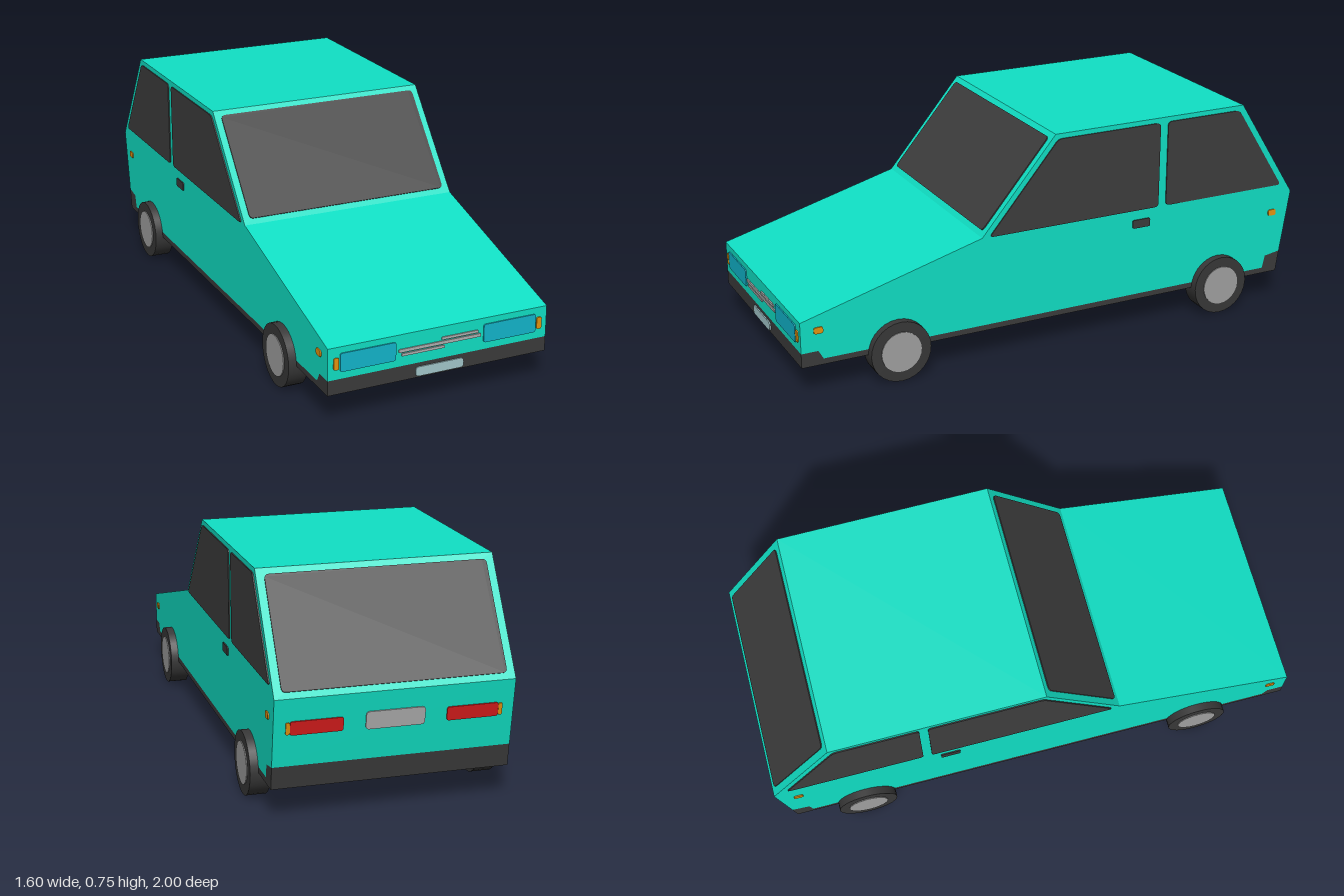
import * as THREE from 'three';

const mat = (name, color) => Object.assign(new THREE.MeshStandardMaterial({ color }), { name });

const HALF = 0.386;   // half width of the car
const END = 0.93;     // half length of the car
const THIN = 0.004;   // thickness of painted plates

// Polygon with slightly rounded corners
function roundedShape(points, r) {
  const v = points.map(p => new THREE.Vector2(...p));
  const shape = new THREE.Shape();
  v.forEach((p, i) => {
    const prev = v[(i + v.length - 1) % v.length], next = v[(i + 1) % v.length];
    const a = p.clone().add(prev.clone().sub(p).setLength(r));
    const b = p.clone().add(next.clone().sub(p).setLength(r));
    if (i === 0) shape.moveTo(a.x, a.y); else shape.lineTo(a.x, a.y);
    shape.quadraticCurveTo(p.x, p.y, b.x, b.y);
  });
  shape.closePath();
  return shape;
}

const rect = (x, y, w, h) => [
  [x - w / 2, y - h / 2], [x + w / 2, y - h / 2], [x + w / 2, y + h / 2], [x - w / 2, y + h / 2],
];

const extrude = (shape, depth) =>
  new THREE.ExtrudeGeometry(shape, { depth, bevelEnabled: false, curveSegments: 4 });

// Side profile (length, height) swept across the car, centred on x = x0
function sideSweep(name, shape, width, x0, material) {
  const geo = extrude(shape, width);
  geo.translate(0, 0, -width / 2);
  geo.rotateY(-Math.PI / 2);
  geo.translate(x0, 0, 0);
  const mesh = new THREE.Mesh(geo, material);
  mesh.name = name;
  return mesh;
}

// Group whose xy plane lies on the face rising from bottom to top (length, height)
function facePlane(name, bottom, top, sign) {
  const x = new THREE.Vector3(sign, 0, 0);
  const y = new THREE.Vector3(0, top[1] - bottom[1], top[0] - bottom[0]).normalize();
  const z = x.clone().cross(y);
  const group = new THREE.Group();
  group.name = name;
  group.quaternion.setFromRotationMatrix(new THREE.Matrix4().makeBasis(x, y, z));
  group.position.set(0, bottom[1], bottom[0]);
  return group;
}

export function createModel() {
  const paint = mat('teal paint', 0x10e0c5);
  const glass = mat('dark glass', 0x3e3e3e);
  const trim = mat('dark trim', 0x3b3b3b);
  const rubber = mat('tyre rubber', 0x383838);
  const metal = mat('hub grey', 0xa0a0a0);
  const lamp = mat('headlight blue', 0x12b6cc);
  const amber = mat('amber', 0xe8960f);
  const red = mat('tail light red', 0xd81c1c);
  const silver = mat('grille silver', 0xb0b0b0);
  const pale = mat('number plate pale', 0xa4c8cc);

  const car = new THREE.Group();
  car.name = 'car';

  // Body: painted upper part and dark lower part meet on one stepped line
  const seam = [[END, 0.155], [0.872, 0.155], [0.855, 0.125], [-0.825, 0.125], [-0.835, 0.17], [-0.895, 0.18]];
  const rearLow = [-0.884, 0.105], rearMid = [-END, 0.405];
  const roofRear = [-0.708, 0.755], roofFront = [0.025, 0.755];
  const cowl = [0.293, 0.437], nose = [END, 0.262];
  const toShape = pts => new THREE.Shape(pts.map(p => new THREE.Vector2(...p)));
  car.add(sideSweep('body', toShape([...seam, rearMid, roofRear, roofFront, cowl, nose]), HALF * 2, 0, paint));
  car.add(sideSweep('bumpersAndFloor', toShape([rearLow, [END, 0.105], ...seam]), HALF * 2, 0, trim));

  // Side windows, door handles and marker lamps
  const sideParts = [
    ['frontSideWindow', [[-0.375, 0.437], [0.268, 0.437], [0.015, 0.738], [-0.375, 0.738]], 0.015, glass],
    ['rearSideWindow', [[-0.882, 0.437], [-0.405, 0.437], [-0.405, 0.738], [-0.692, 0.738]], 0.015, glass],
    ['doorHandle', rect(-0.31, 0.387, 0.068, 0.03), 0.006, trim],
    ['frontMarker', rect(0.87, 0.227, 0.032, 0.022), 0.008, amber],
    ['rearMarker', rect(-0.853, 0.335, 0.032, 0.022), 0.008, amber],
  ];
  for (const side of [-1, 1]) {
    for (const [name, pts, r, material] of sideParts) {
      car.add(sideSweep(name, roundedShape(pts, r), THIN, side * (HALF + THIN / 2), material));
    }
  }

  const plate = (group, name, x, y, w, h, r, material) => {
    const mesh = new THREE.Mesh(extrude(roundedShape(rect(x, y, w, h), r), THIN), material);
    mesh.name = name;
    group.add(mesh);
  };

  // Windscreen and rear window
  const screen = facePlane('windscreenFace', cowl, roofFront, 1);
  plate(screen, 'windscreen', 0, 0.208, 0.725, 0.376, 0.015, glass);
  const hatch = facePlane('rearWindowFace', rearMid, roofRear, -1);
  plate(hatch, 'rearWindow', 0, 0.207, 0.72, 0.372, 0.015, glass);

  // Nose: headlights, indicators, grille bars and number plate
  const front = facePlane('noseFace', [END, 0], [END, 1], 1);
  for (const s of [-1, 1]) {
    plate(front, 'headlight', s * 0.25, 0.21, 0.19, 0.062, 0.008, lamp);
    plate(front, 'indicator', s * 0.358, 0.208, 0.018, 0.04, 0.006, amber);
  }
  plate(front, 'grilleBar', 0.07, 0.222, 0.13, 0.009, 0.003, silver);
  plate(front, 'grilleBar', 0, 0.208, 0.29, 0.011, 0.003, silver);
  plate(front, 'grilleBar', -0.06, 0.194, 0.15, 0.009, 0.003, silver);
  plate(front, 'frontNumberPlate', 0, 0.126, 0.17, 0.032, 0.012, pale);

  // Tail: lights with amber ends and number plate
  const rear = facePlane('tailFace', rearLow, rearMid, -1);
  for (const s of [-1, 1]) {
    plate(rear, 'tailLight', s * 0.25, 0.205, 0.168, 0.046, 0.008, red);
    plate(rear, 'rearIndicator', s * 0.341, 0.205, 0.013, 0.04, 0.004, amber);
  }
  plate(rear, 'rearNumberPlate', 0, 0.208, 0.19, 0.06, 0.012, silver);
  car.add(screen, hatch, front, rear);

  // Wheels: tyre with a hub disc on both faces
  const tyreGeo = new THREE.CylinderGeometry(0.105, 0.105, 0.066, 28).rotateZ(Math.PI / 2);
  const hubGeo = new THREE.CylinderGeometry(0.07, 0.07, 0.072, 24).rotateZ(Math.PI / 2);
  for (const side of [-1, 1]) {
    for (const [name, z] of [['frontWheel', 0.598], ['rearWheel', -0.63]]) {
      const wheel = new THREE.Group();
      wheel.name = name;
      const tyre = new THREE.Mesh(tyreGeo, rubber);
      tyre.name = 'tyre';
      const hub = new THREE.Mesh(hubGeo, metal);
      hub.name = 'hub';
      wheel.add(tyre, hub);
      wheel.position.set(side * 0.38, 0.105, z);
      car.add(wheel);
    }
  }

  // The car stands turned to its left
  car.rotation.y = Math.PI / 6;
  const model = new THREE.Group();
  model.name = 'hatchback';
  model.add(car);
  return model;
}
